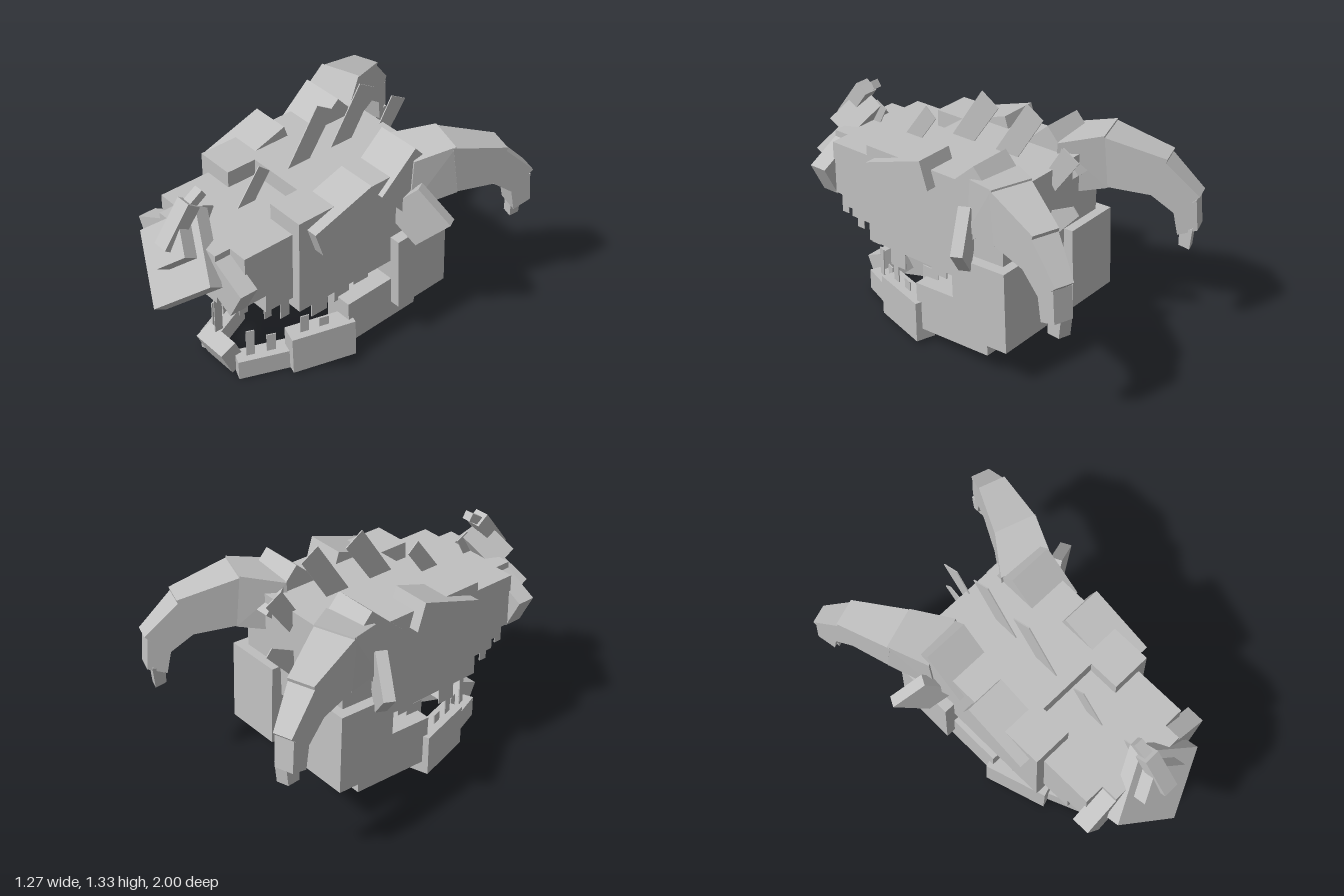
import * as THREE from 'three';
import { ConvexGeometry } from 'three/addons/geometries/ConvexGeometry.js';

export function createModel() {
  const model = new THREE.Group();
  const bone = new THREE.MeshStandardMaterial({ color: 0xc0c0c0 });
  bone.name = 'bone grey';

  function add(name, geometry) {
    const mesh = new THREE.Mesh(geometry, bone);
    mesh.name = name;
    model.add(mesh);
    return mesh;
  }

  // box by size, centre and rotation
  function box(name, [w, h, d], [x, y, z], rx = 0, ry = 0, rz = 0) {
    const mesh = add(name, new THREE.BoxGeometry(w, h, d));
    mesh.position.set(x, y, z);
    mesh.rotation.set(rx, ry, rz, 'YXZ');
  }

  // box by its limits
  function block(name, [x0, x1], [y0, y1], [z0, z1]) {
    box(name, [x1 - x0, y1 - y0, z1 - z0], [(x0 + x1) / 2, (y0 + y1) / 2, (z0 + z1) / 2]);
  }

  // mirrored pair of boxes
  function pair(name, size, [x, y, z], rx = 0, ry = 0, rz = 0) {
    for (const [s, side] of [[1, 'left'], [-1, 'right']]) {
      box(side + name, size, [x * s, y, z], rx, ry * s, rz * s);
    }
  }

  // cranium and snout, with a notch above the muzzle
  block('cranium', [-0.38, 0.38], [0.485, 1.03], [-0.48, 0.23]);
  pair('CraniumFront', [0.215, 0.545, 0.17], [0.2725, 0.7575, 0.315]);
  block('snout', [-0.22, 0.22], [0.65, 0.94], [0.23, 0.78]);
  pair('SnoutSide', [0.11, 0.395, 0.17], [0.275, 0.7425, 0.485]);
  pair('SnoutSideFront', [0.11, 0.29, 0.12], [0.275, 0.795, 0.63]);
  pair('Nostril', [0.25, 0.19, 0.1], [0.255, 0.78, 0.73], 0, 0, -0.48);

  // nose plates and nose horn
  box('nosePlate', [0.4, 0.4, 0.08], [0, 0.815, 0.825], -0.51, 0, Math.PI / 4);
  box('noseUpperPlate', [0.2, 0.2, 0.08], [0, 0.925, 0.86], -0.51, 0, Math.PI / 4);
  box('noseHorn', [0.084, 0.25, 0.08], [0, 1.02, 0.83], -0.64);
  box('noseHornTip', [0.052, 0.11, 0.045], [0, 1.125, 0.73], -1.0);

  // brows, horn bases and cheek plates
  pair('Brow', [0.22, 0.155, 0.375], [0.33, 0.96, 0.147], 0.326);
  pair('HornBase', [0.245, 0.29, 0.29], [0.2875, 0.95, -0.31], 0.74);
  pair('CheekPlate', [0.25, 0.25, 0.06], [0.465, 0.785, -0.31], 0, 0.48, Math.PI / 4);

  // horn segments: outer face corners (z, y), start top, end top, end bottom, start bottom
  const hornSegments = [
    [[-0.305, 1.085], [-0.505, 1.13], [-0.53, 0.845], [-0.29, 0.8]],
    [[-0.49, 1.125], [-0.805, 1.03], [-0.75, 0.825], [-0.53, 0.85]],
    [[-0.8, 1.01], [-0.97, 0.84], [-0.86, 0.73], [-0.74, 0.825]],
    [[-0.955, 0.82], [-0.97, 0.65], [-0.875, 0.615], [-0.85, 0.74]],
    [[-0.965, 0.66], [-0.955, 0.54], [-0.89, 0.545], [-0.89, 0.63]],
  ];
  for (const s of [1, -1]) {
    hornSegments.forEach((quad, i) => {
      const points = [];
      for (const [z, y] of quad) {
        const width = i === 4 ? 0.065 : 0.28 - 0.265 * (-0.3 - z);
        const outer = i === 4 ? 0.565 : z > -0.4 ? 0.42 : 0.5 + (-0.48 - z) * 0.25;
        points.push(new THREE.Vector3(s * outer, y, z));
        points.push(new THREE.Vector3(s * (outer - 0.95 * width), y, z - 0.31 * width));
      }
      add((s > 0 ? 'left' : 'right') + 'HornSegment' + (i + 1), new ConvexGeometry(points));
    });
  }

  // thin spikes along the middle of the head, corners as (z, y)
  const spikes = [
    [[0.74, 0.93], [0.68, 1.065], [0.615, 1.03], [0.67, 0.92]],
    [[0.48, 0.93], [0.335, 1.13], [0.27, 1.075], [0.38, 0.92]],
    [[0.16, 1.02], [-0.035, 1.32], [-0.14, 1.255], [0.02, 1.02]],
    [[-0.12, 1.02], [-0.315, 1.33], [-0.415, 1.27], [-0.26, 1.02]],
    [[-0.44, 1.0], [-0.54, 1.165], [-0.635, 1.11], [-0.5, 0.92]],
    [[-0.47, 0.8], [-0.61, 0.87], [-0.645, 0.83], [-0.49, 0.655]],
  ];
  spikes.forEach((quad, i) => {
    const points = quad.flatMap(([z, y]) => [-0.003, 0.003].map((x) => new THREE.Vector3(x, y, z)));
    add('spike' + (i + 1), new ConvexGeometry(points));
  });

  // lower jaw
  pair('JawHinge', [0.33, 0.44, 0.33], [0.275, 0.43, -0.377], 0.045);
  pair('JawRear', [0.165, 0.265, 0.46], [0.3025, 0.23, -0.155], 0.045);
  pair('JawMiddle', [0.11, 0.225, 0.35], [0.313, 0.13, 0.205], 0.03, -0.31);
  pair('JawFront', [0.1, 0.115, 0.29], [0.17, 0.063, 0.47], 0.02, -0.4);
  box('chin', [0.21, 0.165, 0.1], [0, 0.105, 0.61], 0.42);

  // teeth: x, bottom, top, centre z, length, yaw
  const upperTeeth = [
    [0.19, 0.445, 0.68, 0.757, 0.045, 0],
    [0.25, 0.53, 0.68, 0.648, 0.052, 0],
    [0.3, 0.475, 0.56, 0.537, 0.045, 0],
    [0.3, 0.42, 0.56, 0.43, 0.055, 0],
    [0.34, 0.365, 0.5, 0.24, 0.1, 0],
    [0.34, 0.42, 0.5, -0.04, 0.1, 0],
  ];
  const lowerTeeth = [
    [0.15, 0.11, 0.28, 0.537, 0.045, -0.4],
    [0.193, 0.11, 0.228, 0.435, 0.05, -0.4],
    [0.295, 0.23, 0.343, 0.297, 0.048, -0.31],
    [0.326, 0.23, 0.297, 0.193, 0.052, -0.31],
    [0.3, 0.33, 0.41, 0.055, 0.1, 0],
  ];
  for (const [name, teeth] of [['UpperTooth', upperTeeth], ['LowerTooth', lowerTeeth]]) {
    teeth.forEach(([x, y0, y1, z, length, yaw], i) => {
      pair(name + (i + 1), [0.006, y1 - y0, length], [x, (y0 + y1) / 2, z], 0, yaw);
    });
  }

  return model;
}
